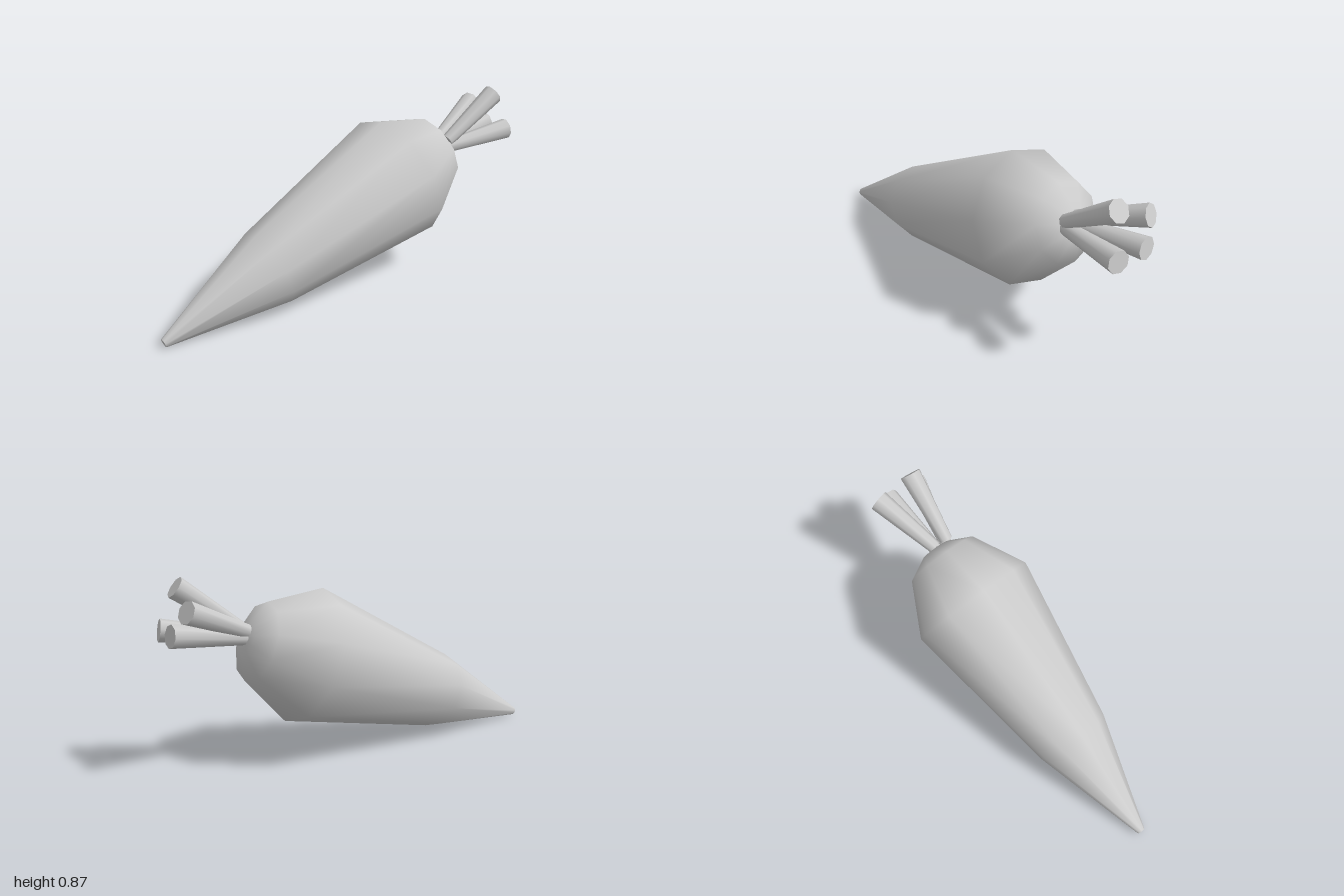
import * as THREE from 'three';

const material = new THREE.MeshStandardMaterial({ color: 0xcccccc });

function addMesh(parent, name, geometry) {
  const mesh = new THREE.Mesh(geometry, material);
  mesh.name = name;
  parent.add(mesh);
  return mesh;
}

// Tapered stalk running from a base point to an end point
function addStalk(parent, name, base, end) {
  const a = new THREE.Vector3(...base);
  const b = new THREE.Vector3(...end);
  const dir = b.clone().sub(a);
  const stalk = addMesh(parent, name, new THREE.CylinderGeometry(0.052, 0.032, dir.length(), 8));
  stalk.position.copy(a).add(b).multiplyScalar(0.5);
  stalk.quaternion.setFromUnitVectors(new THREE.Vector3(0, 1, 0), dir.normalize());
}

export function createModel() {
  const model = new THREE.Group();
  model.name = 'carrot';

  // Root: ten-sided lathe from the blunt tip to the crown, leaning back
  const root = new THREE.Group();
  root.name = 'root';
  root.position.set(0, 0.025, 0.99);
  root.rotation.x = THREE.MathUtils.degToRad(-70.6);
  model.add(root);

  const profile = [
    [0.021, 0], [0.191, 0.588], [0.319, 1.416], [0.185, 1.67], [0.075, 1.725], [0, 1.73],
  ].map(([r, h]) => new THREE.Vector2(r, h));
  addMesh(root, 'rootBody', new THREE.LatheGeometry(profile, 10));

  // Flat end of the tip
  const tip = addMesh(root, 'rootTip', new THREE.CircleGeometry(0.021, 10, Math.PI / 2));
  tip.rotation.x = Math.PI / 2;

  // Four cut stalks fanning out of the crown
  const stalks = new THREE.Group();
  stalks.name = 'stalks';
  model.add(stalks);
  [
    [[0.065, 0.635, -0.63], [0.09, 0.835, -0.92]],
    [[0, 0.63, -0.63], [-0.09, 0.75, -0.945]],
    [[0.06, 0.6, -0.63], [0.14, 0.648, -0.98]],
    [[0.005, 0.6, -0.63], [-0.02, 0.645, -0.992]],
  ].forEach(([base, end], i) => addStalk(stalks, `stalk${i + 1}`, base, end));

  return model;
}
